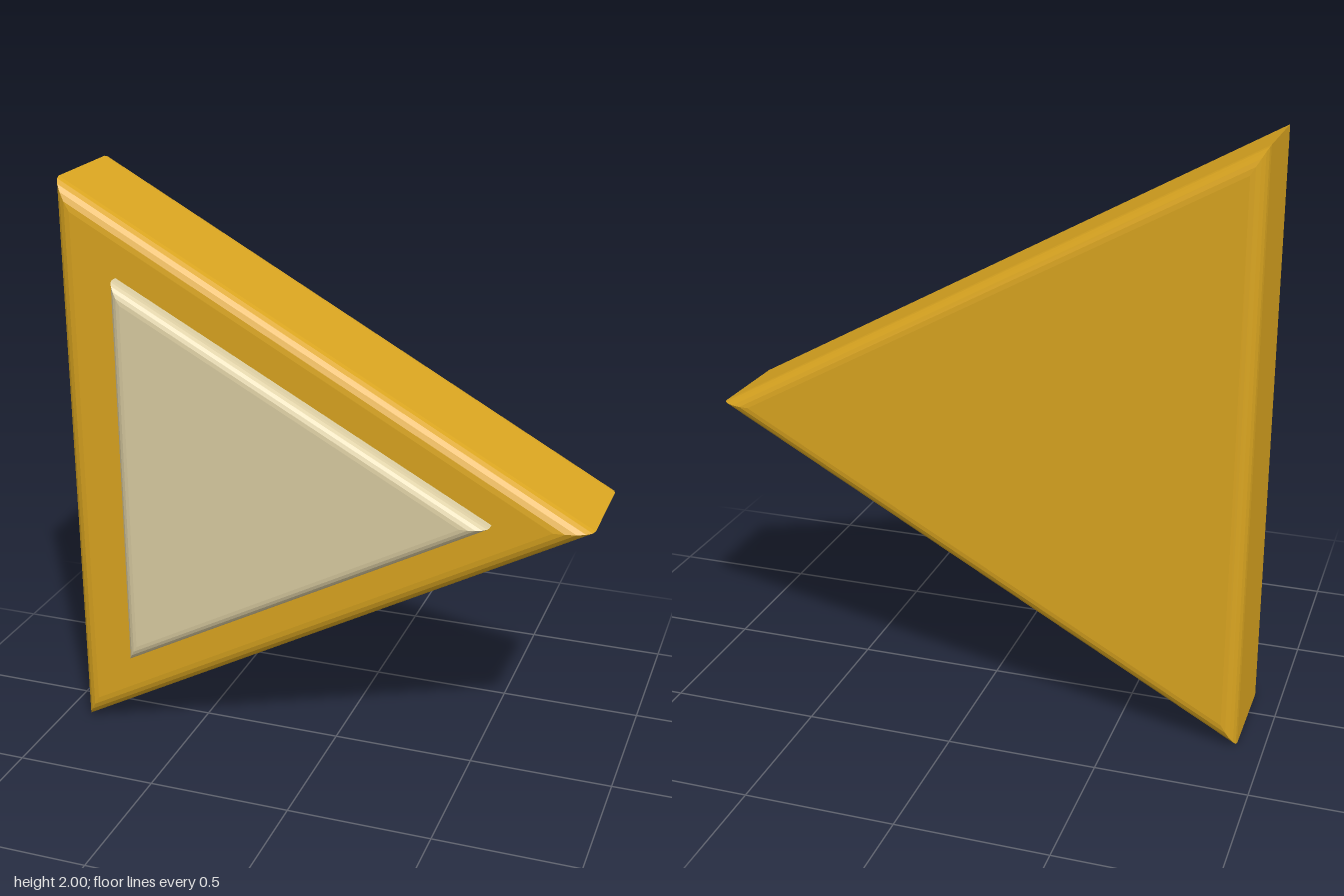
import * as THREE from 'three';

const gold = new THREE.MeshStandardMaterial({ color: 0xdaa520 });
gold.name = 'gold';
const cream = new THREE.MeshStandardMaterial({ color: 0xdbcda2 });
cream.name = 'cream';

// Triangular slab pointing to +x, with rounded front and back rims and sharp corners.
// Each ring is the outline scaled about its incentre, which insets all sides equally.
function triangleSlab(left, right, halfHeight, back, front, backBevel, frontBevel) {
  const w = right - left;
  const side = Math.hypot(w, halfHeight);
  const r = (halfHeight * w) / (halfHeight + side); // inradius
  const cx = left + r;
  const outline = [[left, -halfHeight], [right, 0], [left, halfHeight]];
  const steps = 5;
  const sections = []; // [inset, z] from back to front
  for (let i = 0; i <= steps && backBevel > 0; i++) {
    const a = (i / steps) * Math.PI / 2;
    sections.push([backBevel * (1 - Math.sin(a)), back + backBevel * (1 - Math.cos(a))]);
  }
  if (backBevel === 0) sections.push([0, back]);
  for (let i = 0; i <= steps; i++) {
    const a = (i / steps) * Math.PI / 2;
    sections.push([frontBevel * (1 - Math.cos(a)), front - frontBevel * (1 - Math.sin(a))]);
  }
  const rings = sections.map(([d, z]) => outline.map(([x, y]) => {
    const s = 1 - d / r;
    return [cx + (x - cx) * s, 1 + y * s, z];
  }));

  const pos = [];
  const tri = (a, b, c) => pos.push(...a, ...b, ...c);
  for (let k = 0; k < rings.length - 1; k++) {
    for (let i = 0; i < 3; i++) {
      const j = (i + 1) % 3;
      const [a, b, c, d] = [rings[k][i], rings[k][j], rings[k + 1][j], rings[k + 1][i]];
      tri(a, b, c);
      tri(a, c, d);
    }
  }
  const last = rings[rings.length - 1];
  tri(last[0], last[1], last[2]);
  tri(rings[0][0], rings[0][2], rings[0][1]);

  const geo = new THREE.BufferGeometry();
  geo.setAttribute('position', new THREE.Float32BufferAttribute(pos, 3));
  geo.computeVertexNormals();
  return geo;
}

export function createModel() {
  const group = new THREE.Group();
  group.name = 'triangleButton';

  // thick outer body
  const body = new THREE.Mesh(triangleSlab(-0.91, 0.91, 1, -0.255, 0.187, 0.05, 0.06), gold);
  body.name = 'body';

  // raised inlay on the front
  const inlay = new THREE.Mesh(triangleSlab(-0.695, 0.587, 0.692, 0.15, 0.255, 0, 0.042), cream);
  inlay.name = 'frontInlay';

  group.add(body, inlay);
  return group;
}
